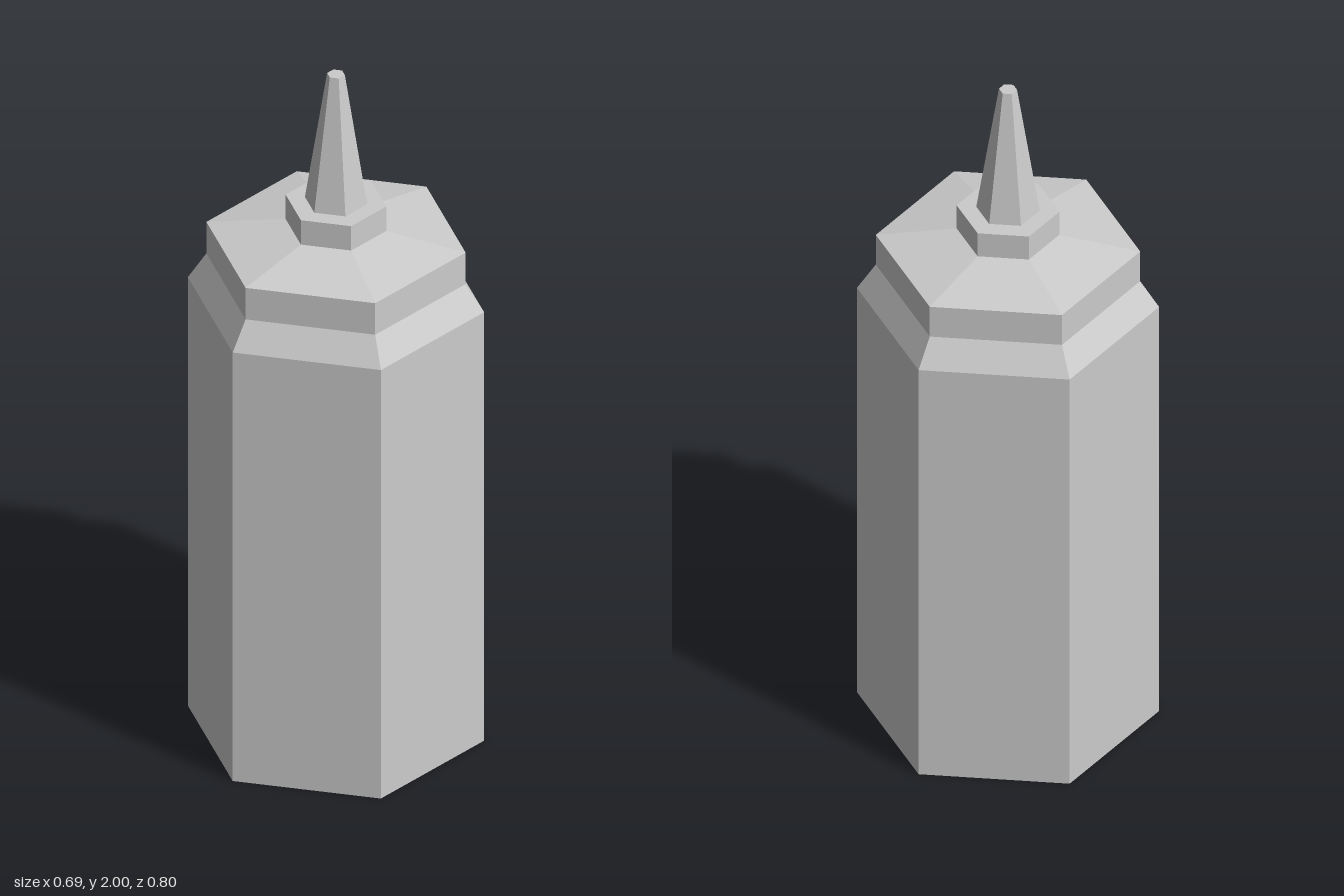
import * as THREE from 'three';

const SIDES = 6;

export function createModel() {
  const group = new THREE.Group();
  group.name = 'squeezeBottle';
  const material = new THREE.MeshStandardMaterial({ color: 0xcccccc, flatShading: true });

  // Six-sided part turned from a [radius, height] profile, listed bottom to top
  const addPart = (name, profile) => {
    const points = profile.map(([r, y]) => new THREE.Vector2(r, y));
    const mesh = new THREE.Mesh(new THREE.LatheGeometry(points, SIDES), material);
    mesh.name = name;
    group.add(mesh);
  };

  // Closed base, straight wall and sloped shoulder
  addPart('body', [[0, 0], [0.4, 0], [0.4, 1.32], [0.35, 1.4]]);
  // Cap rim with a shallow sloped top
  addPart('cap', [[0.35, 1.4], [0.35, 1.497], [0.136, 1.535]]);
  // Collar at the foot of the nozzle
  addPart('collar', [[0.136, 1.535], [0.136, 1.61], [0.084, 1.61]]);
  // Tapered nozzle with a flat tip
  addPart('nozzle', [[0.084, 1.61], [0.024, 2], [0, 2]]);

  return group;
}
